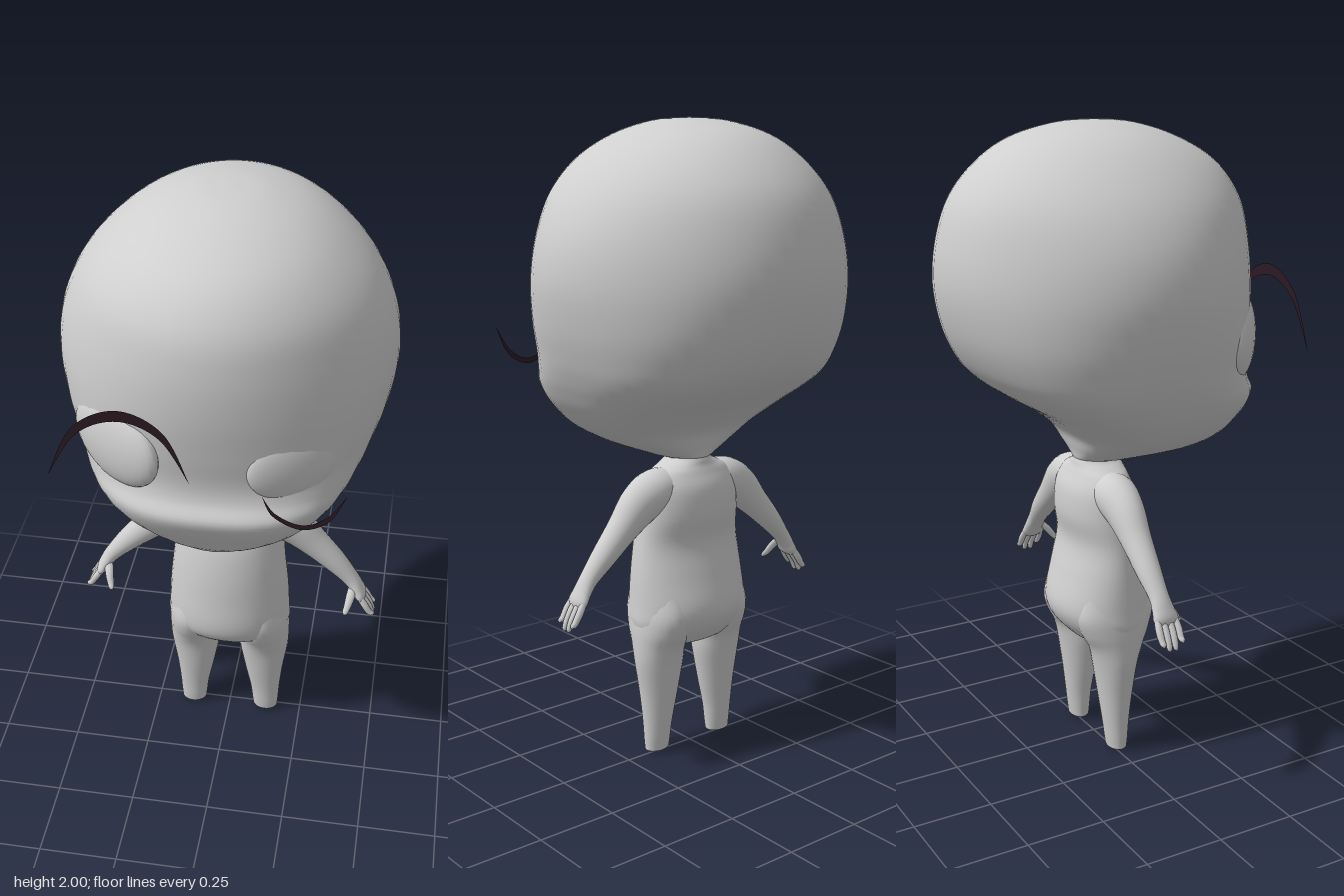
import * as THREE from 'three';
import { mergeVertices } from 'three/addons/utils/BufferGeometryUtils.js';

// Smooth loft through sections [x, y, z, halfWidth, frontDepth, backDepth, squareness], listed top to bottom.
// Squareness swells the diagonals of a section; side = -1 mirrors the result in x.
function loft(sections, radial, perSection, side = 1) {
  const curve = pick => new THREE.CatmullRomCurve3(sections.map(s => new THREE.Vector3(...pick(s))), false, 'catmullrom');
  const path = curve(s => s.slice(0, 3)), size = curve(s => s.slice(3, 6)), square = curve(s => [s[6] ?? 0, 0, 0]);
  const rows = (sections.length - 1) * perSection;
  const pos = [], index = [];
  for (let i = 0; i <= rows; i++) {
    const t = i / rows, c = path.getPoint(t), r = size.getPoint(t), k = square.getPoint(t).x;
    const d = path.getPoint(Math.min(1, t + 0.002)).sub(path.getPoint(Math.max(0, t - 0.002)));
    const straight = Math.abs(d.x) < 1e-7, len = Math.hypot(d.x, d.y) || 1;
    const ux = straight ? 1 : -d.y / len, uy = straight ? 0 : d.x / len;
    for (let j = 0; j < radial; j++) {
      const a = j / radial * Math.PI * 2, swell = 1 + k * Math.sin(2 * a) ** 2;
      const w = Math.max(0, r.x) * Math.cos(a) * swell, s = Math.sin(a);
      pos.push(side * (c.x + ux * w), c.y + uy * w, c.z + s * swell * Math.max(0, s > 0 ? r.y : r.z));
    }
  }
  for (let i = 0; i < rows; i++) for (let j = 0; j < radial; j++) {
    const k = (j + 1) % radial;
    const a = i * radial + j, b = i * radial + k, c = a + radial, d = b + radial;
    if (side > 0) index.push(a, b, c, b, d, c);
    else index.push(a, c, b, b, c, d);
  }
  let geo = new THREE.BufferGeometry();
  geo.setAttribute('position', new THREE.Float32BufferAttribute(pos, 3));
  geo.setIndex(index);
  geo = mergeVertices(geo, 1e-5);
  geo.computeVertexNormals();
  return geo;
}

// Upright section from height, half width, front z, back z, z of the widest point and squareness
const upright = ([y, w, front, back, zc, k], x = 0) => [x, y, zc, w, front - zc, zc - back, k];

// Flat tapered arc between two edges that share their end points
function lashShape(outer, inner) {
  const v = list => list.map(p => new THREE.Vector2(p[0], p[1]));
  const shape = new THREE.Shape();
  shape.moveTo(outer[0][0], outer[0][1]);
  shape.splineThru(v(outer.slice(1)));
  shape.splineThru(v(inner.slice(0, -1).reverse()));
  return new THREE.ShapeGeometry(shape, 16);
}

export function createModel() {
  const model = new THREE.Group();
  const skin = new THREE.MeshStandardMaterial({ color: 0xcfcfcf });
  skin.name = 'plain grey';
  const dark = new THREE.MeshStandardMaterial({ color: 0x2b1923, side: THREE.DoubleSide });
  dark.name = 'dark lash';
  const add = (name, geo, mat = skin, parent = model) => {
    const m = new THREE.Mesh(geo, mat);
    m.name = name;
    parent.add(m);
    return m;
  };

  // Head with brow, recessed face, muzzle, squarish jaw and neck
  add('head', loft([
    [2.0, 0, 0, 0, 0, 0],
    [1.99, 0.11, 0.12, -0.12, 0, 0],
    [1.95, 0.225, 0.25, -0.26, 0, 0],
    [1.88, 0.325, 0.37, -0.36, 0, 0],
    [1.78, 0.415, 0.443, -0.44, 0, -0.01],
    [1.66, 0.473, 0.468, -0.48, 0, -0.02],
    [1.53, 0.493, 0.468, -0.49, 0.01, -0.01],
    [1.4, 0.476, 0.452, -0.462, 0.02, 0.02],
    [1.3, 0.446, 0.437, -0.412, 0.03, 0.05],
    [1.24, 0.42, 0.443, -0.357, 0.045, 0.08],
    [1.19, 0.392, 0.471, -0.288, 0.06, 0.09],
    [1.13, 0.35, 0.45, -0.19, 0.085, 0.1],
    [1.06, 0.28, 0.405, -0.1, 0.12, 0.1],
    [1.005, 0.185, 0.365, -0.075, 0.13, 0.09],
    [0.97, 0.1, 0.31, -0.066, 0.09, 0.05],
    [0.961, 0.066, 0.11, -0.064, 0.01, 0],
    [0.92, 0.066, 0.08, -0.064, 0.005, 0],
  ].map(s => upright(s)), 56, 5));

  // Torso with round belly and seat, flaring out of the neck
  add('torso', loft([
    [0.985, 0.055, 0.07, -0.055, 0],
    [0.96, 0.069, 0.083, -0.067, 0],
    [0.943, 0.1, 0.088, -0.072, 0],
    [0.92, 0.14, 0.095, -0.083, 0],
    [0.87, 0.166, 0.115, -0.105, 0],
    [0.79, 0.175, 0.143, -0.11, 0],
    [0.7, 0.184, 0.16, -0.096, 0.01],
    [0.6, 0.195, 0.17, -0.12, 0.01],
    [0.5, 0.201, 0.176, -0.145, 0.01],
    [0.44, 0.203, 0.16, -0.132, 0.01],
    [0.39, 0.18, 0.115, -0.092, 0.01],
    [0.362, 0.12, 0.07, -0.055, 0.01],
    [0.352, 0, 0.01, 0.01, 0.01],
  ].map(s => upright(s)), 40, 5));

  for (const side of [1, -1]) {
    const label = side > 0 ? 'left' : 'right';

    // Tapered leg, growing out of the hip and ending in a blunt stump
    const legRows = [
      [0.108, 0.54, 0.075, 0.135, -0.105],
      [0.112, 0.47, 0.086, 0.143, -0.118],
      [0.115, 0.41, 0.088, 0.125, -0.1],
      [0.118, 0.36, 0.085, 0.1, -0.074],
      [0.118, 0.3, 0.082, 0.08, -0.06],
      [0.12, 0.2, 0.066, 0.065, -0.045],
      [0.125, 0.1, 0.051, 0.052, -0.032],
      [0.127, 0.025, 0.044, 0.046, -0.022],
      [0.127, 0.004, 0.038, 0.04, -0.016],
      [0.127, 0, 0, 0.01, 0.01],
    ];
    add(label + 'Leg', loft(legRows.map(([x, y, w, f, b]) => upright([y, w, f, b, 0.01], x)), 28, 5, side));

    // Arm running from shoulder to palm
    const arm = new THREE.Group();
    arm.name = label + 'Arm';
    model.add(arm);
    add(label + 'ArmAndPalm', loft([
      [0.05, 0.885, 0, 0.045, 0.06, 0.055],
      [0.13, 0.872, 0, 0.068, 0.07, 0.068],
      [0.2, 0.835, 0, 0.067, 0.058, 0.06],
      [0.27, 0.768, -0.002, 0.05, 0.046, 0.048],
      [0.342, 0.695, -0.003, 0.038, 0.038, 0.04],
      [0.395, 0.635, 0, 0.027, 0.03, 0.033],
      [0.42, 0.598, 0, 0.022, 0.037, 0.036],
      [0.437, 0.567, 0, 0.017, 0.042, 0.038],
      [0.449, 0.545, 0, 0, 0, 0],
    ], 24, 5, side), skin, arm);

    // Fingers fanned along z, and the thumb in front
    const digit = pts => loft(pts.map(([x, y, z, r]) => [x, y, z, r, r, r]), 10, 3, side);
    [[0.034, 0.505], [0.011, 0.486], [-0.011, 0.487], [-0.032, 0.503]].forEach(([z, tip], i) => {
      add(label + 'Finger' + (i + 1), digit([
        [0.43, 0.58, z * 0.85, 0.01],
        [0.451, 0.548, z, 0.0115],
        [0.468, 0.52, z, 0.01],
        [0.478, tip + 0.008, z, 0.008],
        [0.481, tip, z, 0],
      ]), skin, arm);
    });
    add(label + 'Thumb', digit([
      [0.41, 0.61, 0.015, 0.014],
      [0.404, 0.583, 0.04, 0.015],
      [0.397, 0.556, 0.06, 0.012],
      [0.391, 0.54, 0.073, 0.009],
      [0.389, 0.532, 0.078, 0],
    ]), skin, arm);
  }

  // Flattened eyes set into the face; the right one is larger and stands further out
  const eye = (name, x, y, z, w, h, d, turn) => {
    const m = add(name, new THREE.SphereGeometry(1, 32, 20));
    m.position.set(x, y, z);
    m.scale.set(w, h, d);
    m.rotation.y = turn;
  };
  eye('rightEye', -0.268, 1.365, 0.35, 0.17, 0.134, 0.054, -0.66);
  eye('leftEye', 0.235, 1.355, 0.362, 0.142, 0.12, 0.044, 0.54);

  // Lashes: an open arch on the right, a closed wink on the left
  add('rightLash', lashShape(
    [[-0.434, 1.325], [-0.355, 1.497], [-0.228, 1.565], [-0.105, 1.505], [-0.035, 1.342]],
    [[-0.434, 1.325], [-0.345, 1.475], [-0.228, 1.53], [-0.115, 1.483], [-0.035, 1.342]]
  ), dark).position.z = 0.489;
  add('leftLash', lashShape(
    [[0.164, 1.327], [0.202, 1.27], [0.275, 1.24], [0.343, 1.274], [0.395, 1.355]],
    [[0.164, 1.327], [0.195, 1.26], [0.275, 1.223], [0.351, 1.262], [0.395, 1.355]]
  ), dark).position.z = 0.49;

  return model;
}
